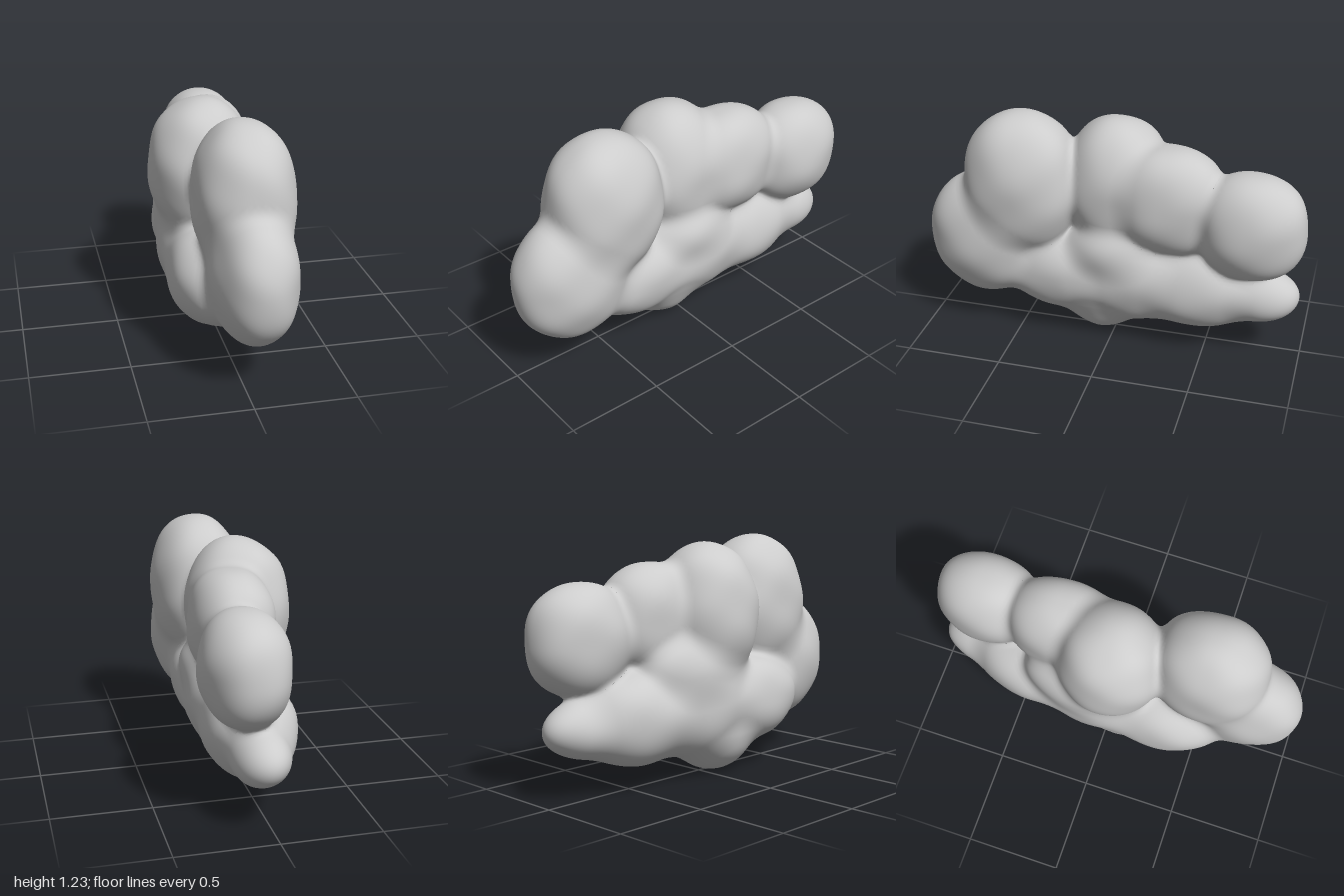
import * as THREE from 'three';
import { mergeVertices } from 'three/addons/utils/BufferGeometryUtils.js';

const cloudGrey = new THREE.MeshStandardMaterial({ color: 0xcccccc });
cloudGrey.name = 'cloudGrey';

// rounded puffs: name, centre, radii, roundness power (2 = ellipsoid, more = fuller)
const puffs = [
  ['frontPuff', [0.065, 0.53, 0.675], [0.213, 0.34, 0.325], 2.1],
  ['tallPuff', [0.06, 0.845, 0.48], [0.248, 0.38, 0.305], 2.2],
  ['middlePuff', [-0.045, 0.84, 0.0], [0.268, 0.365, 0.275], 2.15],
  ['rearMiddlePuff', [0.055, 0.83, -0.29], [0.208, 0.285, 0.29], 2.3],
  ['backPuff', [0.1, 0.76, -0.72], [0.213, 0.28, 0.275], 2.15],
  ['baseFront', [-0.015, 0.37, 0.27], [0.258, 0.24, 0.37], 2.2],
  ['baseMiddle', [-0.01, 0.39, -0.07], [0.258, 0.295, 0.42], 2],
  ['baseRear', [0.005, 0.36, -0.42], [0.235, 0.25, 0.38], 2],
  ['baseTail', [0.035, 0.345, -0.73], [0.15, 0.15, 0.245], 2],
  ['rightFlank', [0.09, 0.53, -0.01], [0.165, 0.17, 0.24], 2],
  ['leftFlank', [-0.1, 0.56, -0.13], [0.165, 0.22, 0.33], 2],
  ['belly', [-0.025, 0.21, 0.08], [0.205, 0.21, 0.28], 1.75],
];

// small smooth lumps, depending on position only
function lump(x, y, z) {
  return Math.sin(x * 17 + y * 9) * Math.cos(z * 15 - y * 8) * 0.6
    + Math.sin(y * 21 + z * 13 + x * 5) * 0.4;
}

// approximate distance to one puff
function puffDistance([, c, r, n], q) {
  let sum = 0, grad = 0;
  for (let k = 0; k < 3; k++) {
    const a = Math.abs(q[k] - c[k]) / r[k];
    sum += a ** n;
    grad += (a ** (n - 1) / r[k]) ** 2;
  }
  const level = Math.max(sum ** (1 / n), 1e-3);
  return (level - 1) / (Math.sqrt(grad) * level ** (1 - n) + 1e-6);
}

// distance to all puffs, softly blended where they meet
const BLEND = 0.05;
function cloudDistance(q) {
  let d = 1;
  for (const puff of puffs) {
    const e = puffDistance(puff, q);
    const h = Math.max(BLEND - Math.abs(d - e), 0) / BLEND;
    d = Math.min(d, e) - h * h * BLEND / 4;
  }
  return d - 0.006 * lump(...q);
}

function slope(q) {
  return [0, 1, 2].map((k) => {
    const a = [...q], b = [...q];
    a[k] += 0.004;
    b[k] -= 0.004;
    return (cloudDistance(a) - cloudDistance(b)) / 0.008;
  });
}

// a ball shaped to its puff, then settled onto the blended cloud surface
function buildPuff(puff) {
  const [name, c, r, n] = puff;
  let g = new THREE.IcosahedronGeometry(1, 14);
  g.deleteAttribute('normal');
  g.deleteAttribute('uv');
  g = mergeVertices(g, 1e-4);
  const pos = g.attributes.position;
  const normals = new THREE.BufferAttribute(new Float32Array(pos.count * 3), 3);
  for (let i = 0; i < pos.count; i++) {
    const p = [pos.getX(i), pos.getY(i), pos.getZ(i)];
    const size = p.reduce((s, v) => s + Math.abs(v) ** n, 0) ** (1 / n);
    let q = p.map((v, k) => c[k] + v / size * r[k]);
    let s = slope(q);
    // points buried in a neighbour stay where they are
    if (cloudDistance(q) > -0.045) {
      for (let step = 0; step < 4; step++) {
        const move = cloudDistance(q) / Math.max(s[0] ** 2 + s[1] ** 2 + s[2] ** 2, 0.3);
        q = q.map((v, k) => v - s[k] * move);
        s = slope(q);
      }
    }
    const len = Math.hypot(...s) || 1;
    pos.setXYZ(i, ...q);
    normals.setXYZ(i, s[0] / len, s[1] / len, s[2] / len);
  }
  g.setAttribute('normal', normals);
  const mesh = new THREE.Mesh(g, cloudGrey);
  mesh.name = name;
  return mesh;
}

export function createModel() {
  const group = new THREE.Group();
  group.name = 'cloud';
  for (const puff of puffs) group.add(buildPuff(puff));
  return group;
}
